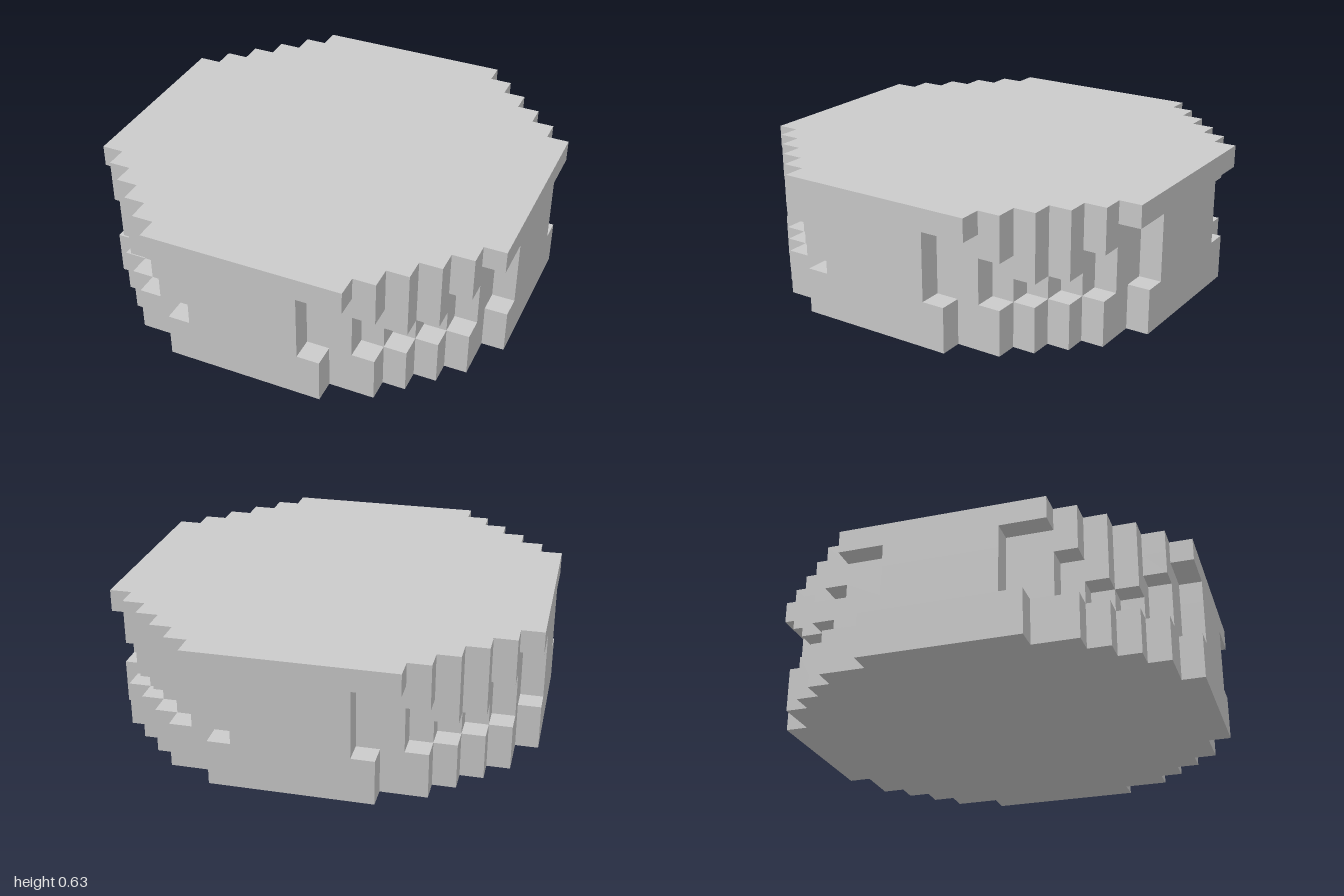
import * as THREE from 'three';

const UNIT = 2 / 19; // edge of one block

// Stepped outline from the reach of each block column, counted from the centre;
// one quarter is traced and then turned four times.
function steppedShape(reach) {
  const quarter = [];
  for (let i = 1; i < reach.length; i++) {
    if (reach[i] === reach[i - 1]) continue;
    quarter.push([i - 0.5, reach[i - 1] + 0.5], [i - 0.5, reach[i] + 0.5]);
  }
  quarter.push([reach.length - 0.5, reach[reach.length - 1] + 0.5]);

  const points = [];
  let corners = quarter;
  for (let k = 0; k < 4; k++) {
    corners.forEach(([x, y]) => points.push(new THREE.Vector2(x * UNIT, y * UNIT)));
    corners = corners.map(([x, y]) => [y, -x]);
  }
  return new THREE.Shape(points);
}

// Layers from the ground up: start and height in blocks
const LAYERS = [
  { name: 'base', start: 0, height: 2, reach: [9, 9, 9, 9, 8, 8, 7, 6, 5, 3] },
  { name: 'lowerRecess', start: 2, height: 1, reach: [9, 9, 9, 8, 8, 7, 6, 5, 4, 2] },
  { name: 'middleRecess', start: 3, height: 1, reach: [9, 9, 9, 8, 8, 7, 7, 6, 4, 2] },
  { name: 'upperRecess', start: 4, height: 1, reach: [9, 9, 9, 8, 8, 8, 7, 6, 5, 2] },
  { name: 'topSlab', start: 5, height: 1, reach: [9, 9, 9, 9, 9, 8, 7, 6, 5, 4] },
];

export function createModel() {
  const model = new THREE.Group();
  model.name = 'steppedBlockPlatform';
  const material = new THREE.MeshStandardMaterial({ color: 0xcccccc, flatShading: true });

  for (const { name, start, height, reach } of LAYERS) {
    const geometry = new THREE.ExtrudeGeometry(steppedShape(reach), {
      depth: height * UNIT,
      bevelEnabled: false,
    });
    geometry.rotateX(-Math.PI / 2);
    const layer = new THREE.Mesh(geometry, material);
    layer.name = name;
    layer.position.y = start * UNIT;
    model.add(layer);
  }
  return model;
}
